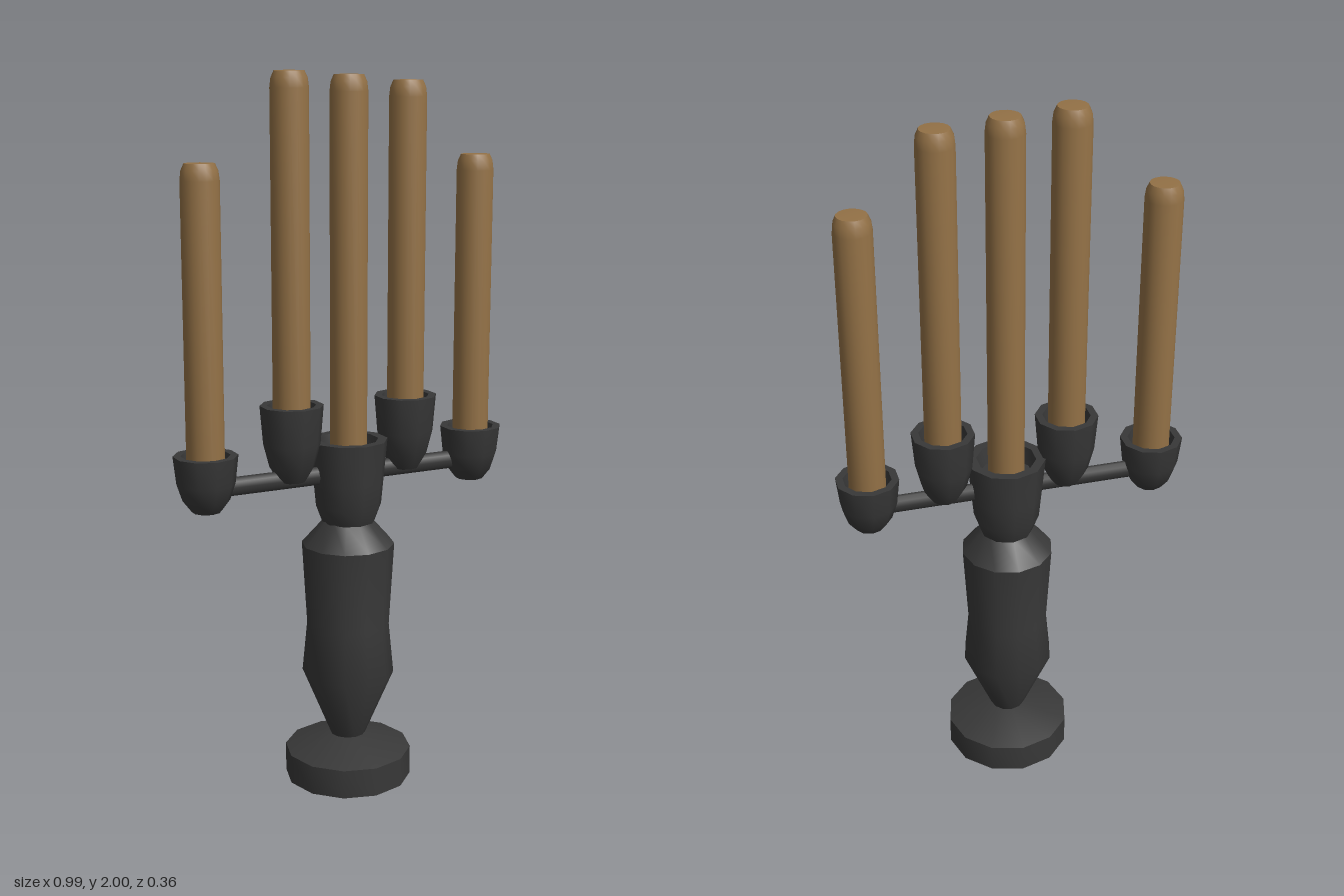
import * as THREE from 'three';
import { toCreasedNormals } from 'three/addons/utils/BufferGeometryUtils.js';

export function createModel() {
  const model = new THREE.Group();
  model.name = 'candelabra';
  const iron = new THREE.MeshStandardMaterial({ color: 0x383838 });
  iron.name = 'dark iron';
  const wax = new THREE.MeshStandardMaterial({ color: 0x937146 });
  wax.name = 'brown wax';

  // Turned part from a [radius, y] profile, listed bottom to top on the outside
  function turned(name, profile, sides, material, x, crease = 0.75) {
    const points = profile.map(([r, y]) => new THREE.Vector2(r, y));
    const mesh = new THREE.Mesh(toCreasedNormals(new THREE.LatheGeometry(points, sides), crease), material);
    mesh.name = name;
    mesh.position.x = x;
    model.add(mesh);
    return mesh;
  }

  // Round foot and baluster stem
  const centre = 0.013;
  turned('base', [[0, 0], [0.181, 0], [0.181, 0.083], [0.048, 0.127], [0, 0.127]], 12, iron, centre);
  turned('stem', [[0, 0.11], [0.048, 0.12], [0.131, 0.315], [0.117, 0.46], [0.131, 0.7], [0.07, 0.768], [0, 0.768]],
    12, iron, centre);

  // Cross arm, taller than it is deep
  const armGeometry = new THREE.CylinderGeometry(0.026, 0.026, 0.78, 10).rotateZ(Math.PI / 2);
  armGeometry.scale(1, 1, 0.68);
  const arm = new THREE.Mesh(armGeometry, iron);
  arm.name = 'crossArm';
  arm.position.y = 0.905;
  model.add(arm);

  // Hollow holder: wide rim tapering to a small foot
  function holder(name, x, bottom, top, radius, foot) {
    const h = top - bottom;
    turned(name, [
      [0, bottom], [foot, bottom], [foot + (radius - foot) * 0.5, bottom + h * 0.2],
      [radius * 0.9, bottom + h * 0.5], [radius, top],
      [radius * 0.76, top], [radius * 0.68, top - 0.05], [0, top - 0.05],
    ], 10, iron, x);
  }

  // Candle with a softly bevelled top
  function candle(name, x, bottom, top) {
    const r = 0.0515;
    turned(name, [
      [0, bottom], [r, bottom], [r, top - 0.045], [r * 0.94, top - 0.02],
      [r * 0.78, top - 0.002], [0, top],
    ], 16, wax, x, 0.9);
  }

  // [name, x, holder bottom, holder top, holder radius, holder foot radius, candle top]
  const branches = [
    ['rightOuter', -0.411, 0.845, 1.0, 0.088, 0.04, 1.77],
    ['rightInner', -0.158, 0.9, 1.113, 0.088, 0.038, 2.0],
    ['centre', 0.015, 0.765, 1.0, 0.11, 0.075, 1.99],
    ['leftInner', 0.193, 0.9, 1.11, 0.088, 0.038, 1.975],
    ['leftOuter', 0.407, 0.845, 1.0, 0.088, 0.04, 1.774],
  ];
  for (const [name, x, bottom, top, radius, foot, candleTop] of branches) {
    holder(name + 'Holder', x, bottom, top, radius, foot);
    candle(name + 'Candle', x, top - 0.06, candleTop);
  }
  return model;
}
